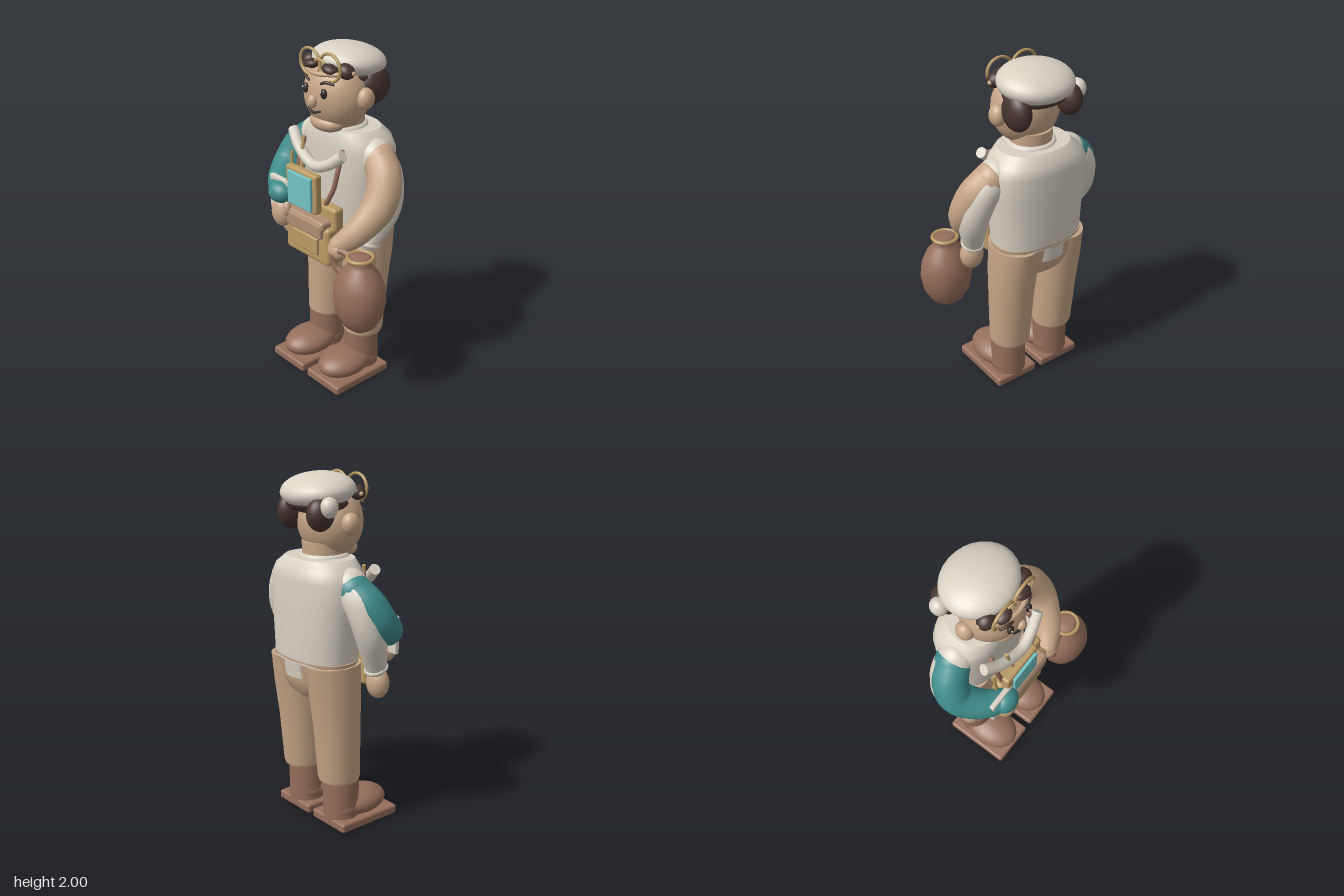
import * as THREE from 'three';
import { RoundedBoxGeometry } from 'three/addons/geometries/RoundedBoxGeometry.js';

const mat = (name, color, side = THREE.FrontSide) => Object.assign(new THREE.MeshStandardMaterial({ color, side }), { name });
const M = {
  skin: mat('skin and trousers tan', 0xc6a587),
  white: mat('shirt white', 0xd8d1c4, THREE.DoubleSide),
  brown: mat('leather brown', 0x966e5c, THREE.DoubleSide),
  hair: mat('hair dark', 0x46342f),
  black: mat('eye black', 0x332e2c),
  gold: mat('brass', 0xb99a64),
  flap: mat('flap tan', 0xb08e74),
  teal: mat('teal sleeve', 0x3f8c8b),
  screen: mat('screen aqua', 0x72c3c2),
};
const CX = -0.05; // body axis
const v = (p) => new THREE.Vector3(...p);

export function createModel() {
  const root = new THREE.Group();
  root.name = 'explorer';

  const add = (name, geo, m, pos = [0, 0, 0], rot = [0, 0, 0]) => {
    const mesh = new THREE.Mesh(geo, m);
    mesh.name = name;
    mesh.position.set(...pos);
    mesh.rotation.set(...rot);
    root.add(mesh);
    return mesh;
  };
  const ball = (name, m, pos, radii, rot) => {
    const mesh = add(name, new THREE.SphereGeometry(1, 28, 18), m, pos, rot);
    mesh.scale.set(...radii);
    return mesh;
  };
  const box = (name, m, pos, size, r = 0.01, rot) =>
    add(name, new RoundedBoxGeometry(...size, 3, r), m, pos, rot);

  // Tube through points whose radius follows a list, with rounded or flat ends
  const limb = (name, m, pts, radii, round = true, seg = 14) => {
    const curve = new THREE.CatmullRomCurve3(pts.map(v));
    const N = 24;
    const geo = new THREE.TubeGeometry(curve, N, 1, seg);
    const p = geo.attributes.position;
    const q = new THREE.Vector3();
    for (let i = 0; i <= N; i++) {
      const c = curve.getPointAt(i / N);
      const t = (i / N) * (radii.length - 1);
      const k = Math.min(Math.floor(t), radii.length - 2);
      const r = THREE.MathUtils.lerp(radii[k], radii[k + 1], t - k);
      for (let j = 0; j <= seg; j++) {
        const n = i * (seg + 1) + j;
        q.fromBufferAttribute(p, n).sub(c).multiplyScalar(r).add(c);
        p.setXYZ(n, q.x, q.y, q.z);
      }
    }
    add(name, geo, m);
    for (const u of [0, 1]) {
      const c = curve.getPointAt(u);
      const r = u ? radii[radii.length - 1] : radii[0];
      if (round) ball(name + 'End', m, c.toArray(), [r, r, r]);
      else {
        const disc = add(name + 'End', new THREE.CircleGeometry(r, seg), m, c.toArray());
        disc.lookAt(c.clone().add(curve.getTangentAt(u).multiplyScalar(u ? 1 : -1)));
      }
    }
  };

  // Loft of squarish ellipses; each section is [y, centre x, centre z, rx, rz]
  const loft = (name, m, sections, power = 2) => {
    const S = 32, pos = [], idx = [];
    const ring = ([y, cx, cz, rx, rz]) => {
      for (let j = 0; j < S; j++) {
        const a = (j / S) * Math.PI * 2, c = Math.cos(a), s = Math.sin(a);
        pos.push(cx + rx * Math.sign(c) * Math.abs(c) ** (2 / power), y, cz + rz * Math.sign(s) * Math.abs(s) ** (2 / power));
      }
    };
    const closed = (s) => [s[0], s[1], s[2], 0.001, 0.001];
    const n = sections.length;
    // doubled end rings keep the caps crisp
    [closed(sections[0]), sections[0], ...sections, sections[n - 1], closed(sections[n - 1])].forEach(ring);
    for (let i = 0; i < n + 3; i++) {
      if (i === 1 || i === n + 1) continue;
      for (let j = 0; j < S; j++) {
        const a = i * S + j, b = i * S + ((j + 1) % S);
        idx.push(a, a + S, b, b, a + S, b + S);
      }
    }
    const geo = new THREE.BufferGeometry();
    geo.setAttribute('position', new THREE.Float32BufferAttribute(pos, 3));
    geo.setIndex(idx);
    geo.computeVertexNormals();
    return add(name, geo, m);
  };

  // Shirt, collar and neck
  loft('shirt', M.white, [
    [0.98, CX, -0.125, 0.27, 0.175], [1.1, CX, -0.12, 0.275, 0.185], [1.3, CX, -0.115, 0.295, 0.19],
    [1.44, CX, -0.115, 0.3, 0.19], [1.5, CX, -0.11, 0.265, 0.185], [1.55, CX, -0.095, 0.21, 0.155],
  ], 2.4);
  add('neck', new THREE.CylinderGeometry(0.12, 0.12, 0.14, 24), M.skin, [CX, 1.56, -0.07]);
  add('collar', new THREE.TorusGeometry(0.12, 0.022, 10, 32), M.white, [CX, 1.545, -0.07], [Math.PI / 2, 0, 0]);

  // Trousers
  loft('hips', M.skin, [
    [0.76, CX, -0.12, 0.07, 0.09], [0.8, CX, -0.125, 0.18, 0.13], [0.88, CX, -0.13, 0.265, 0.155], [1.0, CX, -0.13, 0.28, 0.172],
  ], 2.3);
  add('shirtTail', new THREE.CylinderGeometry(0.18, 0.17, 0.09, 20, 1, true, Math.PI - 0.6, 1.2), M.white, [CX, 0.94, -0.13]);

  for (const side of [-1, 1]) {
    const x = CX + side * 0.158;
    // Legs and boots
    loft('leg', M.skin, [
      [0.28, x, -0.09, 0.113, 0.115], [0.3, x, -0.09, 0.119, 0.122], [0.6, x, -0.105, 0.13, 0.135],
      [0.8, x, -0.12, 0.138, 0.15], [0.98, x, -0.13, 0.13, 0.165],
    ]);
    add('bootShaft', new THREE.CylinderGeometry(0.104, 0.104, 0.26, 24), M.brown, [x, 0.17, -0.075]);
    ball('bootToe', M.brown, [x, 0.105, 0.055], [0.13, 0.08, 0.18]);
    ball('bootHeel', M.brown, [x, 0.1, -0.075], [0.108, 0.08, 0.1]);
    box('sole', M.brown, [x + side * 0.001, 0.0275, 0.033], [0.28, 0.055, 0.415], 0.015);

    // Hanging white sleeves with hands
    const at = (dx, y, z) => [CX + side * dx, y, z];
    limb('sleeve', M.white, [at(0.24, 1.42, -0.09), at(0.33, 1.33, -0.09), at(0.37, 1.18, -0.06), at(0.325, 0.97, 0.03)], [0.1, 0.088, 0.08, 0.062]);
    add('cuff', new THREE.TorusGeometry(0.056, 0.014, 8, 24), M.white, at(0.322, 0.955, 0.035), [Math.PI / 2 - 0.35, 0, 0]);
    ball('hangingHand', M.skin, at(0.32, 0.87, 0.05), [0.07, 0.09, 0.06]);

    // Ears, eyes and brows
    ball('ear', M.skin, at(0.2, 1.74, -0.05), [0.045, 0.06, 0.052]);
    ball('eye', M.black, at(0.073, 1.775, 0.133), [0.021, 0.028, 0.016]);
    ball('eyeGlint', M.white, at(0.073 - side * 0.007, 1.784, 0.147), [0.005, 0.006, 0.004]);
    limb('brow', M.hair, [at(0.05, 1.825, 0.13), at(0.085, 1.838, 0.125), at(0.12, 1.83, 0.108)], [0.007, 0.01, 0.007]);

    // Raised goggles and front hair
    const ring = add('goggleRing', new THREE.TorusGeometry(0.08, 0.009, 8, 36), M.gold, at(0.08, 1.91, 0.095));
    ring.scale.y = 0.92;
    ball('frontCurl', M.hair, at(0.145, 1.895, 0.04), [0.05, 0.04, 0.045], [0, 0, side * -0.4]);
    ball('forelock', M.hair, at(0.075, 1.9, 0.09), [0.05, 0.026, 0.04], [0, 0, side * -0.2]);
  }

  // Head and face
  ball('head', M.skin, [CX, 1.735, -0.025], [0.197, 0.205, 0.17]);
  ball('jaw', M.skin, [CX, 1.585, 0.045], [0.115, 0.055, 0.08]);
  ball('nose', M.skin, [CX, 1.72, 0.148], [0.028, 0.036, 0.026]);
  limb('mouth', M.black, [[-0.098, 1.672, 0.135], [-0.05, 1.658, 0.144], [-0.003, 1.672, 0.135]], [0.005, 0.008, 0.005]);
  limb('goggleStrap', M.skin, [[-0.24, 1.89, 0.03], [-0.16, 1.88, 0.1], [CX, 1.87, 0.13], [0.06, 1.88, 0.1], [0.14, 1.89, 0.03]], [0.012, 0.012]);
  limb('goggleBridge', M.gold, [[-0.085, 1.925, 0.095], [CX, 1.94, 0.1], [-0.015, 1.925, 0.095]], [0.008, 0.008]);

  // Cap and back hair
  ball('cap', M.white, [CX, 1.905, -0.11], [0.215, 0.094, 0.196], [-0.12, 0, 0]);
  ball('hairBand', M.hair, [CX, 1.84, -0.11], [0.185, 0.06, 0.165]);
  ball('leftHair', M.hair, [0.105, 1.785, -0.155], [0.065, 0.105, 0.1]);
  ball('rightHair', M.hair, [-0.195, 1.8, -0.21], [0.065, 0.09, 0.08]);
  ball('hairTie', M.white, [-0.255, 1.84, -0.2], [0.046, 0.055, 0.05]);

  // Bent teal arm holding the board
  limb('tealArm', M.teal, [[-0.32, 1.4, -0.09], [-0.405, 1.32, -0.05], [-0.43, 1.22, 0.01], [-0.36, 1.15, 0.13], [-0.27, 1.13, 0.2]], [0.098, 0.1, 0.098, 0.085, 0.065]);
  ball('tealCuff', M.teal, [-0.265, 1.14, 0.215], [0.08, 0.064, 0.065]);
  ball('rightHand', M.skin, [-0.255, 1.02, 0.215], [0.07, 0.09, 0.055]);
  ball('rightThumb', M.skin, [-0.195, 1.06, 0.225], [0.025, 0.045, 0.025]);
  box('board', M.white, [-0.285, 1.11, 0.195], [0.17, 0.22, 0.03], 0.008);

  // Bent bare arm reaching to the jug
  limb('bareArm', M.skin, [[0.22, 1.41, -0.09], [0.295, 1.33, -0.06], [0.325, 1.2, 0.0], [0.27, 1.05, 0.11], [0.19, 0.96, 0.17]], [0.096, 0.099, 0.096, 0.08, 0.058]);
  ball('leftHand', M.skin, [0.19, 0.935, 0.18], [0.065, 0.06, 0.055]);

  // Jug
  const prof = [[0.001, 0.5], [0.05, 0.505], [0.1, 0.545], [0.14, 0.62], [0.155, 0.71], [0.145, 0.79], [0.115, 0.86], [0.075, 0.905], [0.066, 0.93], [0.07, 0.955], [0.05, 0.968], [0.001, 0.97]];
  const jug = add('jug', new THREE.LatheGeometry(prof.map((p) => new THREE.Vector2(...p)), 36), M.brown, [0.365, 0, 0.178]);
  jug.scale.z = 0.9;
  add('jugRim', new THREE.TorusGeometry(0.07, 0.011, 8, 32), M.gold, [0.365, 0.955, 0.178], [Math.PI / 2, 0, 0]);
  limb('jugHandle', M.brown, [[0.305, 0.935, 0.18], [0.235, 0.95, 0.2], [0.188, 0.91, 0.215], [0.2, 0.85, 0.21], [0.25, 0.81, 0.19]], [0.018, 0.022, 0.018]);

  // Satchel
  box('satchel', M.gold, [-0.047, 0.92, 0.145], [0.37, 0.235, 0.13], 0.025);
  box('satchelBack', M.gold, [-0.045, 1.06, 0.125], [0.37, 0.17, 0.07], 0.02);
  box('satchelFlap', M.flap, [-0.05, 1.045, 0.185], [0.32, 0.06, 0.09], 0.02);
  box('satchelFlapLip', M.flap, [-0.05, 1.015, 0.21], [0.3, 0.09, 0.05], 0.015);
  box('satchelPocket', M.gold, [-0.045, 0.91, 0.212], [0.215, 0.105, 0.03], 0.01);
  limb('satchelStrap', M.brown, [[0.11, 1.46, 0.08], [0.115, 1.36, 0.115], [0.095, 1.25, 0.13], [0.045, 1.15, 0.14]], [0.014, 0.014]);
  limb('satchelStrap', M.brown, [[-0.21, 1.45, 0.08], [-0.215, 1.32, 0.115], [-0.19, 1.15, 0.13]], [0.014, 0.014]);
  limb('rod', M.gold, [[-0.258, 1.37, 0.13], [-0.258, 1.24, 0.14], [-0.258, 1.1, 0.15]], [0.009, 0.009], false);
  limb('rod', M.gold, [[-0.155, 1.48, 0.13], [-0.145, 1.39, 0.15], [-0.13, 1.28, 0.165]], [0.011, 0.011], false);

  // Tablet
  box('tabletFrame', M.gold, [-0.1, 1.205, 0.18], [0.262, 0.235, 0.05], 0.015);
  box('tabletScreen', M.screen, [-0.093, 1.203, 0.213], [0.2, 0.2, 0.02], 0.006);

  // Rolled scarf across the chest
  limb('scarf', M.white, [[-0.29, 1.485, 0.09], [-0.19, 1.415, 0.13], [-0.04, 1.355, 0.15], [0.06, 1.385, 0.135], [0.15, 1.455, 0.11]], [0.032, 0.032], false, 10);

  return root;
}
